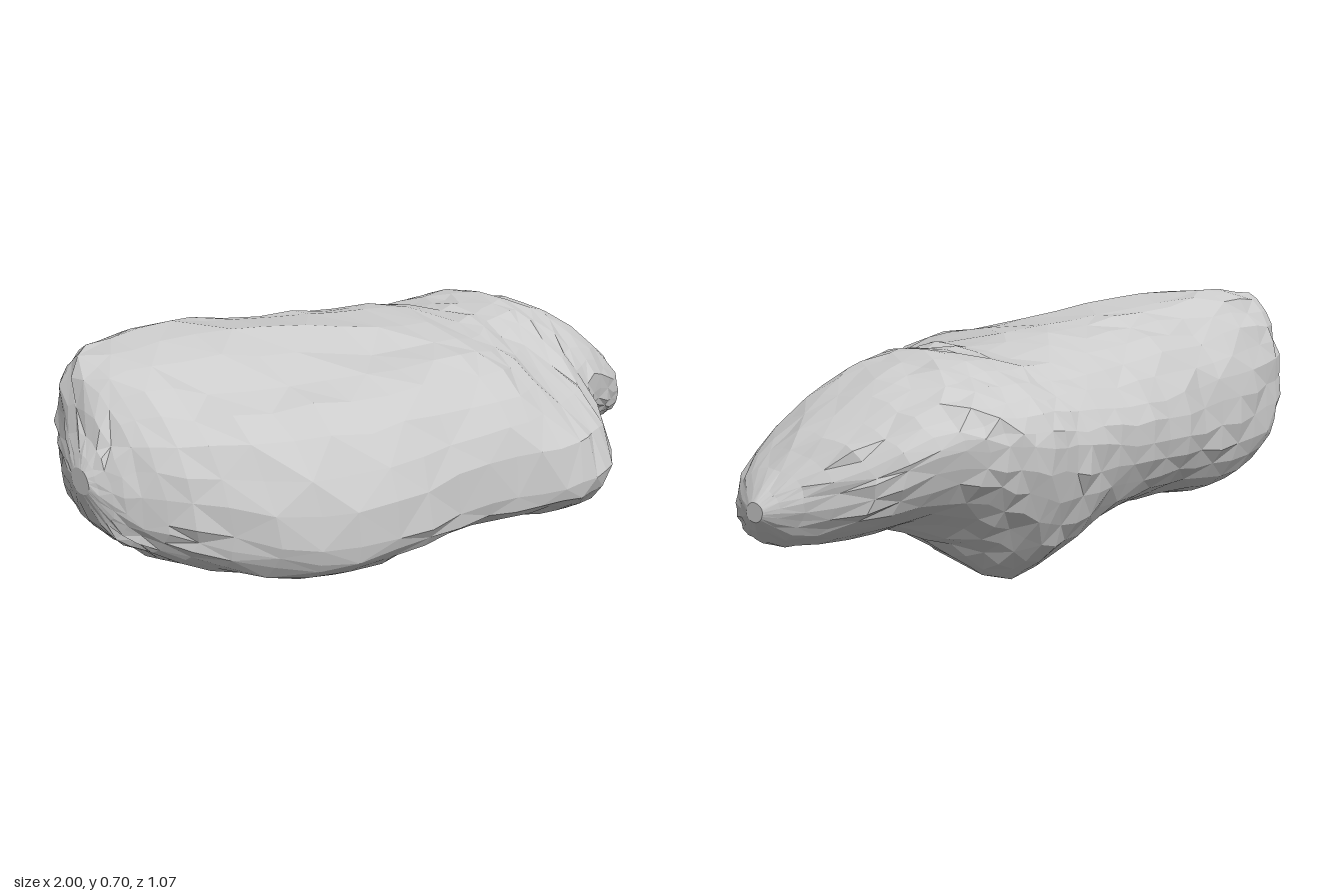
import * as THREE from 'three';

// Stations along the length:
// x, top y, top z, bottom y, bottom z, back z, back y, front z, front y
const STATIONS = [
  [-1.0, 0.43, -0.1, 0.36, -0.1, -0.14, 0.4, -0.06, 0.39],
  [-0.96, 0.52, -0.15, 0.26, -0.08, -0.25, 0.4, 0.0, 0.34],
  [-0.9, 0.65, -0.25, 0.2, -0.06, -0.37, 0.38, 0.08, 0.31],
  [-0.78, 0.68, -0.29, 0.12, -0.08, -0.46, 0.35, 0.21, 0.27],
  [-0.58, 0.695, -0.28, 0.05, -0.06, -0.49, 0.33, 0.36, 0.22],
  [-0.35, 0.68, -0.24, 0.07, -0.08, -0.5, 0.33, 0.43, 0.21],
  [-0.1, 0.65, -0.18, 0.085, -0.1, -0.53, 0.34, 0.44, 0.22],
  [0.1, 0.635, -0.15, 0.07, -0.14, -0.54, 0.36, 0.49, 0.22],
  [0.25, 0.615, -0.1, 0.02, -0.22, -0.53, 0.38, 0.53, 0.23],
  [0.37, 0.61, -0.1, 0.0, -0.25, -0.52, 0.4, 0.51, 0.23],
  [0.48, 0.62, -0.12, 0.07, -0.22, -0.51, 0.41, 0.44, 0.23],
  [0.57, 0.6, -0.12, 0.14, -0.15, -0.48, 0.42, 0.3, 0.28],
  [0.68, 0.56, -0.12, 0.175, -0.05, -0.42, 0.42, 0.22, 0.33],
  [0.82, 0.47, -0.1, 0.16, 0.0, -0.33, 0.37, 0.18, 0.29],
  [0.92, 0.38, -0.04, 0.165, 0.02, -0.16, 0.31, 0.13, 0.26],
  [1.0, 0.3, -0.04, 0.25, -0.04, -0.07, 0.28, -0.01, 0.27],
];

// Dents on the upper side: x, z, radius in x, radius in z, depth.
// In order: valley along the top, notch at the back, pit
const DENTS = [
  [-0.25, 0.1, 0.4, 0.08, 0.045],
  [-0.36, -0.38, 0.08, 0.1, 0.04],
  [-0.62, 0.03, 0.15, 0.06, 0.03],
];

const RINGS = 34;
const SIDES = 32;
const gauss = (d, r) => Math.exp(-((d / r) ** 2));

function seeded(seed) {
  return () => {
    seed = (seed * 16807) % 2147483647;
    return seed / 2147483647 - 0.5;
  };
}

// Smoothly interpolated station row, u from 0 to 1
function stationAt(u) {
  const last = STATIONS.length - 1;
  const f = u * last;
  const i = Math.min(Math.floor(f), last - 1);
  const t = f - i;
  const row = (k) => STATIONS[Math.max(0, Math.min(last, k))];
  const [a, b, c, d] = [row(i - 1), row(i), row(i + 1), row(i + 2)];
  return b.map((p, k) => {
    const m0 = (c[k] - a[k]) / 2;
    const m1 = (d[k] - p) / 2;
    const e = c[k] - p;
    return p + m0 * t + (3 * e - 2 * m0 - m1) * t * t + (m0 + m1 - 2 * e) * t ** 3;
  });
}

// Point of a cross-section: four quarter curves joining its extremes
function sectionPoint(s, angle) {
  const [x, topY, topZ, botY, botZ, backZ, backY, frontZ, frontY] = s;
  const c = Math.cos(angle);
  const n = Math.sin(angle);
  const upper = n >= 0;
  const front = c >= 0;
  // squarer shoulder along the middle, fuller underside at the back left
  const shoulder = 1.95 + 0.75 * gauss(x - 0.2, 0.5);
  const haunch = 1.9 + 0.7 * gauss(x + 0.7, 0.5);
  const power = upper ? (front ? shoulder : 2.0) : (front ? 2.3 : haunch);
  const cz = Math.abs(c) ** (2 / power);
  const sy = Math.abs(n) ** (2 / power);
  const poleZ = upper ? topZ : botZ;
  const poleY = upper ? topY : botY;
  const sideZ = front ? frontZ : backZ;
  const sideY = front ? frontY : backY;
  let z = poleZ + (sideZ - poleZ) * cz;
  let y = sideY + (poleY - sideY) * sy;
  if (upper) {
    // the front lobe stays low, with the body wall set back above it
    if (front) z -= 0.3 * gauss(x - 0.37, 0.19) * (cz - cz ** 10);
    for (const [dx, dz, rx, rz, depth] of DENTS) {
      y -= depth * sy * gauss(x - dx, rx) * gauss(z - dz, rz);
    }
  } else {
    // long groove under the body, deepest behind the front lobe
    y += sy * gauss(z - 0.09, 0.14) * (0.12 * gauss(x - 0.35, 0.28) + 0.05 * gauss(x + 0.3, 0.4));
  }
  return [x, y, z];
}

function rockGeometry() {
  const random = seeded(4711);
  const positions = [];
  const index = [];
  for (let i = 0; i <= RINGS; i++) {
    const s = stationAt(i / RINGS);
    const rough = 0.016 * Math.min(1, Math.min(i, RINGS - i) / 4);
    for (let j = 0; j < SIDES; j++) {
      const [x, y, z] = sectionPoint(s, (j / SIDES) * Math.PI * 2);
      positions.push(x + random() * rough, y + random() * rough, z + random() * rough);
    }
  }
  const at = (i, j) => i * SIDES + (j % SIDES);
  for (let i = 0; i < RINGS; i++) {
    for (let j = 0; j < SIDES; j++) {
      const a = at(i, j), b = at(i + 1, j), c = at(i + 1, j + 1), d = at(i, j + 1);
      if ((i + j) % 2) index.push(a, b, c, a, c, d);
      else index.push(a, b, d, b, c, d);
    }
  }
  // close both tips
  const tip = (RINGS + 1) * SIDES;
  positions.push(-1, 0.395, -0.1, 1, 0.275, -0.04);
  for (let j = 0; j < SIDES; j++) {
    index.push(tip, at(0, j), at(0, j + 1));
    index.push(tip + 1, at(RINGS, j + 1), at(RINGS, j));
  }
  const geometry = new THREE.BufferGeometry();
  geometry.setAttribute('position', new THREE.Float32BufferAttribute(positions, 3));
  geometry.setIndex(index);
  geometry.computeVertexNormals();
  // stand on the ground, centred
  geometry.computeBoundingBox();
  const { min, max } = geometry.boundingBox;
  geometry.translate(-(min.x + max.x) / 2, -min.y, -(min.z + max.z) / 2);
  return geometry;
}

export function createModel() {
  const group = new THREE.Group();
  group.name = 'boulder';
  const rock = new THREE.Mesh(
    rockGeometry(),
    new THREE.MeshStandardMaterial({ color: 0xcccccc, flatShading: true })
  );
  rock.name = 'rockBody';
  group.add(rock);
  return group;
}
